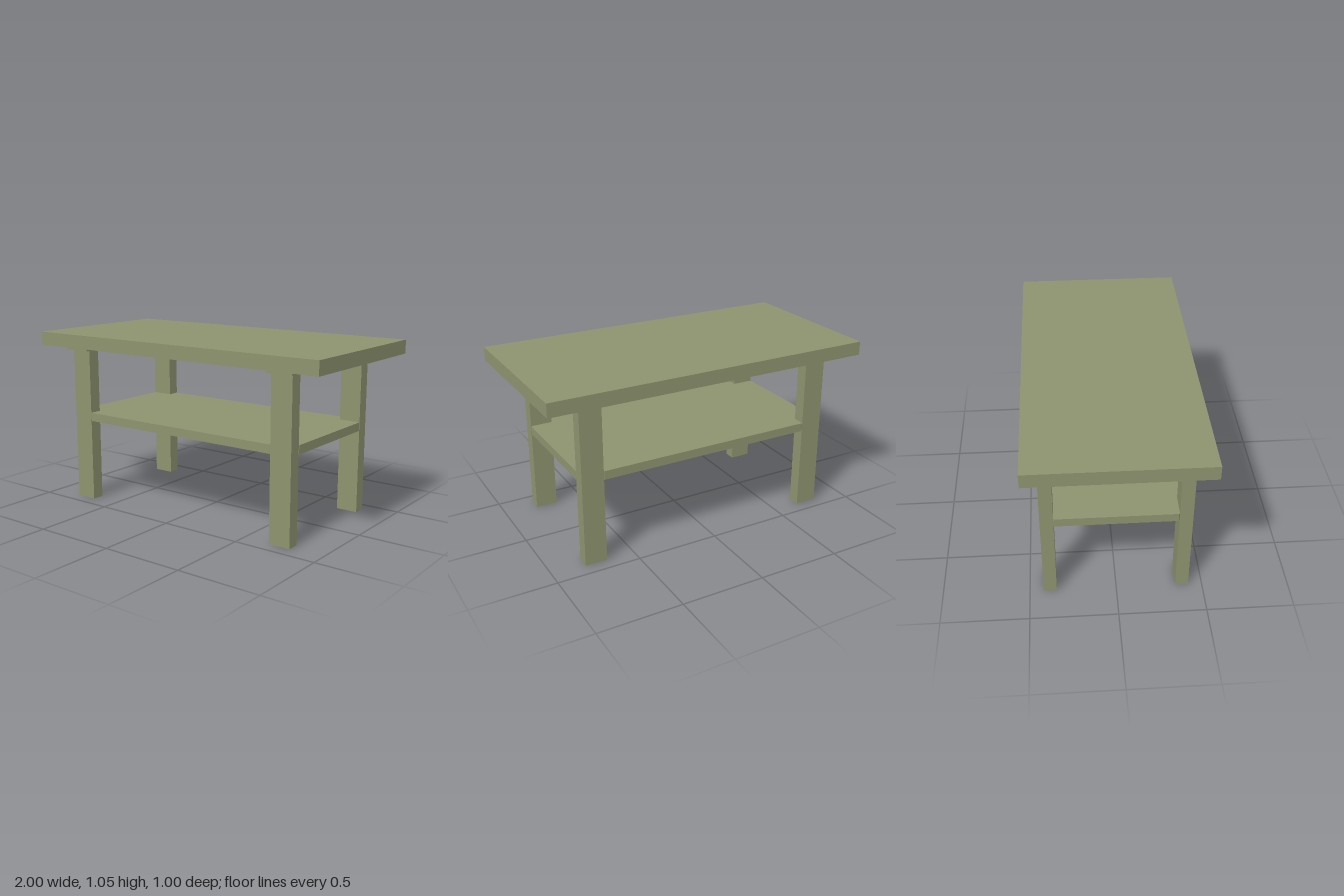
import * as THREE from 'three';

export function createModel() {
  const model = new THREE.Group();
  model.name = 'table';
  const material = new THREE.MeshStandardMaterial({ color: 0x8d936f });

  const add = (name, geometry, x, y, z) => {
    const mesh = new THREE.Mesh(geometry, material);
    mesh.name = name;
    mesh.position.set(x, y, z);
    model.add(mesh);
  };

  // Thick rectangular top
  add('tableTop', new THREE.BoxGeometry(2, 0.082, 1), 0, 1.014, 0);

  // Four legs, each with a flat mounting plate under the top
  const leg = new THREE.BoxGeometry(0.132, 0.953, 0.075);
  const plate = new THREE.BoxGeometry(0.164, 0.02, 0.145);
  for (const sx of [1, -1]) {
    for (const sz of [1, -1]) {
      const name = (sz > 0 ? 'front' : 'back') + (sx > 0 ? 'Left' : 'Right');
      add(name + 'Leg', leg, sx * 0.734, 0.4765, sz * 0.3825);
      add(name + 'Plate', plate, sx * 0.736, 0.963, sz * 0.3825);
    }
  }

  // Lower shelf, its corners cut off diagonally inside the legs
  const outline = new THREE.Shape([
    [0.665, 0.42], [-0.665, 0.42], [-0.8, 0.34], [-0.8, -0.34],
    [-0.665, -0.42], [0.665, -0.42], [0.8, -0.34], [0.8, 0.34],
  ].map(([x, z]) => new THREE.Vector2(x, z)));
  const shelf = new THREE.ExtrudeGeometry(outline, { depth: 0.052, bevelEnabled: false });
  shelf.rotateX(-Math.PI / 2);
  add('shelf', shelf, 0, 0.51, 0);

  return model;
}
